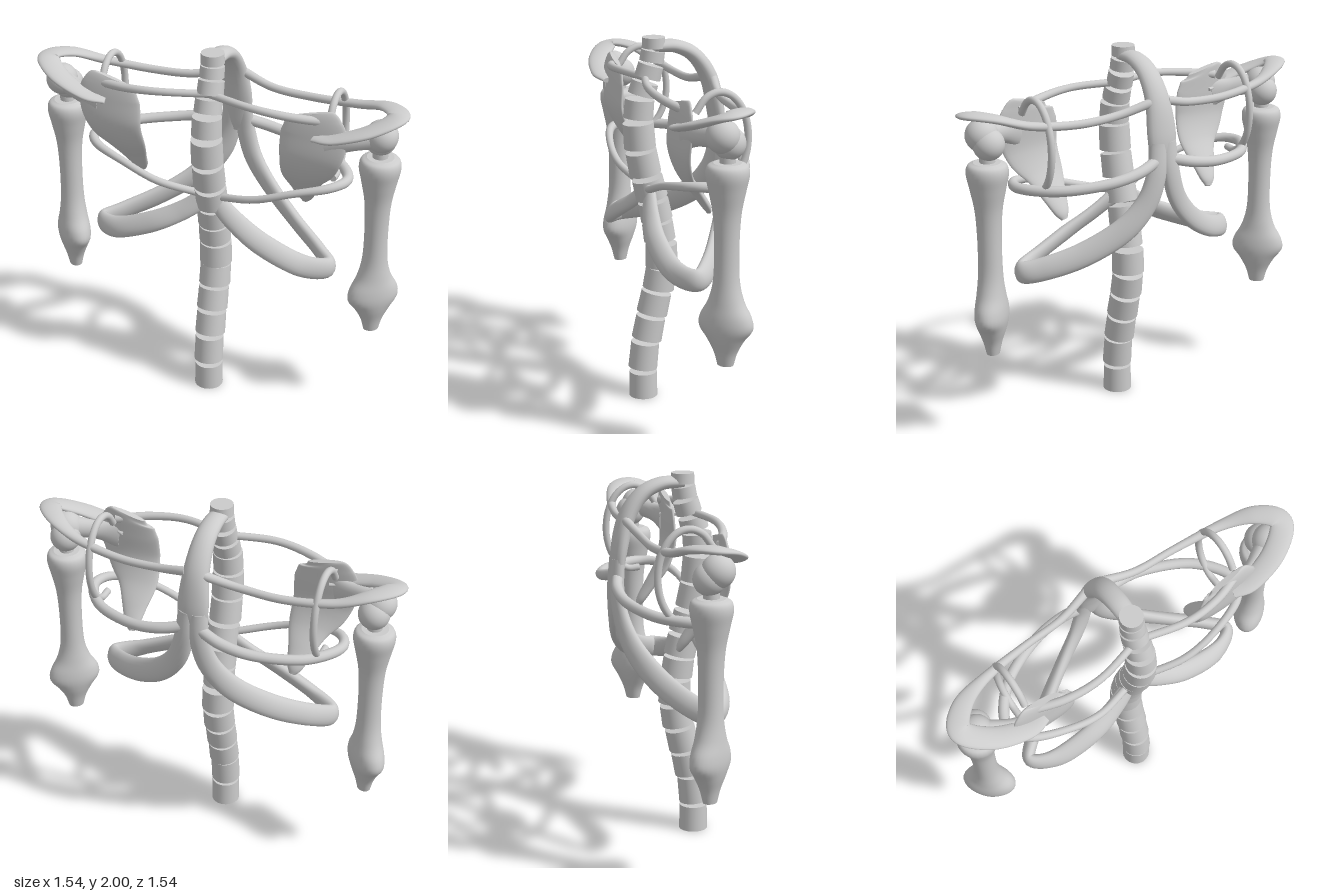
import * as THREE from 'three';

const material = new THREE.MeshStandardMaterial({ color: 0xcccccc });
const V = (x, y, z) => new THREE.Vector3(x, y, z);
const outward = p => V(p.x, 0, p.z);

// Sweep an ellipse along rows of [x, y, z, radius along ref, radius across].
// ref gives the direction of the first radius at each point.
function sweep(name, rows, ref, steps = 48, sides = 20) {
  const path = new THREE.CatmullRomCurve3(rows.map(r => V(r[0], r[1], r[2])), false, 'catmullrom');
  const size = new THREE.CatmullRomCurve3(rows.map(r => V(r[3], r[4] ?? r[3], 0)), false, 'catmullrom');
  const stations = [[0, 0], [0, 1]];
  for (let i = 0; i <= steps; i++) stations.push([i / steps, 1]);
  stations.push([1, 1], [1, 0]);
  const pos = [], index = [];
  stations.forEach(([t, k], i) => {
    const p = path.getPoint(t), s = size.getPoint(t), T = path.getTangent(t);
    const N = ref(p);
    N.addScaledVector(T, -N.dot(T)).normalize();
    const B = T.clone().cross(N);
    for (let j = 0; j < sides; j++) {
      const a = j / sides * Math.PI * 2;
      const q = p.clone().addScaledVector(N, Math.cos(a) * s.x * k).addScaledVector(B, Math.sin(a) * s.y * k);
      pos.push(q.x, q.y, q.z);
      if (i === 0) continue;
      const j1 = (j + 1) % sides, lo = (i - 1) * sides, hi = i * sides;
      index.push(lo + j, lo + j1, hi + j1, lo + j, hi + j1, hi + j);
    }
  });
  const geo = new THREE.BufferGeometry();
  geo.setAttribute('position', new THREE.Float32BufferAttribute(pos, 3));
  geo.setIndex(index);
  geo.computeVertexNormals();
  const mesh = new THREE.Mesh(geo, material);
  mesh.name = name;
  return mesh;
}

function ball(name, r, x, y, z) {
  const mesh = new THREE.Mesh(new THREE.SphereGeometry(r, 28, 18), material);
  mesh.position.set(x, y, z);
  mesh.name = name;
  return mesh;
}

// Vertebrae: [bottom, top, forward position, radius]
function makeSpine() {
  const spine = new THREE.Group();
  spine.name = 'spine';
  const v = [
    [0, 0.14, -0.155, 0.078], [0.165, 0.31, -0.15, 0.08], [0.33, 0.455, -0.122, 0.083],
    [0.475, 0.595, -0.09, 0.085], [0.615, 0.73, -0.058, 0.086], [0.745, 0.87, -0.048, 0.088],
    [0.895, 0.995, -0.065, 0.086], [1.01, 1.115, -0.085, 0.086], [1.135, 1.245, -0.115, 0.086],
    [1.27, 1.395, -0.15, 0.086], [1.415, 1.55, -0.172, 0.085], [1.575, 1.675, -0.172, 0.08],
    [1.695, 1.765, -0.148, 0.074], [1.785, 1.855, -0.115, 0.07], [1.872, 1.93, -0.097, 0.065],
    [1.945, 2, -0.09, 0.062]];
  v.forEach(([lo, hi, z, r], i) => {
    const disc = new THREE.Mesh(new THREE.CylinderGeometry(r * 0.97, r, hi - lo, 28), material);
    disc.position.set(0, (lo + hi) / 2, z);
    if (i > 0 && i < v.length - 1) {
      const a = v[i - 1], b = v[i + 1];
      disc.rotation.x = Math.atan2(b[2] - a[2], (b[0] + b[1] - a[0] - a[1]) / 2);
    }
    disc.name = 'vertebra';
    spine.add(disc);
  });
  return spine;
}

// All the paired parts of one side (s = 1 or -1)
function makeSide(s) {
  const side = new THREE.Group();
  side.name = s > 0 ? 'sideA' : 'sideB';
  const m = rows => rows.map(([x, ...rest]) => [x * s, ...rest]);

  // Broad lower rib, from breastbone round to spine
  side.add(sweep('lowerRib', m([
    [0.03, 1.56, 0.265, 0.035, 0.05], [0.045, 1.4, 0.275, 0.035, 0.055], [0.1, 1.24, 0.26, 0.035, 0.06],
    [0.22, 1.1, 0.215, 0.035, 0.065], [0.4, 0.98, 0.12, 0.035, 0.065], [0.57, 0.905, 0.01, 0.035, 0.062],
    [0.655, 0.875, -0.085, 0.035, 0.06], [0.53, 0.9, -0.165, 0.035, 0.06], [0.32, 0.99, -0.185, 0.035, 0.06],
    [0.155, 1.08, -0.16, 0.03, 0.055], [0.03, 1.17, -0.125, 0.03, 0.05]]), outward, 80));

  // Slender middle rib
  side.add(sweep('middleRib', m([
    [0.03, 1.47, 0.27, 0.03], [0.18, 1.43, 0.3, 0.03], [0.36, 1.4, 0.28, 0.028], [0.58, 1.38, 0.18, 0.028],
    [0.71, 1.375, 0.01, 0.028], [0.66, 1.37, -0.12, 0.024], [0.47, 1.33, -0.19, 0.02],
    [0.27, 1.26, -0.2, 0.02], [0.06, 1.2, -0.14, 0.02]]), outward, 80, 14));

  // Upper bar behind the shoulders
  side.add(sweep('upperBar', m([
    [0, 1.79, -0.14, 0.02], [0.25, 1.785, -0.2, 0.02], [0.45, 1.765, -0.185, 0.022],
    [0.63, 1.74, -0.12, 0.024]]), outward, 30, 14));

  // Upright hoop in front of the shoulder blade
  const hoop = [];
  for (let i = 0; i <= 10; i++) {
    const a = 2.5 - i * 0.43;
    hoop.push([0.63, 1.59 + 0.24 * Math.sin(a), 0.04 + 0.155 * Math.cos(a), 0.019]);
  }
  side.add(sweep('shoulderHoop', m(hoop), () => V(1, 0, 0), 50, 14));

  // Shoulder blade, curving forward to its lower tip
  side.add(sweep('shoulderBlade', m([
    [0.55, 1.78, -0.13, 0.09, 0.015], [0.56, 1.74, -0.135, 0.15, 0.022], [0.565, 1.65, -0.14, 0.175, 0.025],
    [0.54, 1.52, -0.14, 0.16, 0.025], [0.5, 1.4, -0.1, 0.12, 0.025], [0.485, 1.29, -0.025, 0.075, 0.024],
    [0.475, 1.21, 0.03, 0.045, 0.022], [0.468, 1.17, 0.05, 0.018, 0.012]]), () => V(s, 0, 0), 48, 28));
  side.add(sweep('shoulderBladeNeck', m([
    [0.62, 1.63, -0.14, 0.08, 0.03], [0.74, 1.65, -0.11, 0.055, 0.04], [0.87, 1.67, -0.05, 0.06, 0.055]]),
    () => V(0, 1, 0), 20));

  // Collarbone running into the flat shoulder crest
  side.add(sweep('collarboneAndCrest', m([
    [0.58, 1.66, -0.15, 0.015, 0.05], [0.68, 1.68, -0.175, 0.02, 0.055], [0.85, 1.735, -0.135, 0.022, 0.06],
    [0.965, 1.79, -0.035, 0.02, 0.06], [0.88, 1.785, 0.075, 0.02, 0.05], [0.71, 1.735, 0.145, 0.022, 0.028],
    [0.46, 1.71, 0.18, 0.022, 0.02], [0.23, 1.72, 0.19, 0.022, 0.02], [0.05, 1.765, 0.225, 0.024, 0.024]]),
    () => V(0, 1, 0), 80));

  // Shoulder joint and upper arm
  side.add(ball('shoulderSocket', 0.085, 0.89 * s, 1.675, -0.04));
  side.add(ball('shoulderBall', 0.082, 0.875 * s, 1.635, 0));
  const neck = new THREE.Mesh(new THREE.CylinderGeometry(0.04, 0.04, 0.14, 20), material);
  neck.position.set(0.88 * s, 1.56, -0.01);
  neck.name = 'armNeck';
  side.add(neck);
  const arm = [[1.542, 0.07, 0.07], [1.525, 0.1, 0.1], [1.48, 0.108, 0.108], [1.4, 0.092, 0.092],
    [1.28, 0.07, 0.07], [1.12, 0.062, 0.062], [0.95, 0.066, 0.064], [0.84, 0.092, 0.074], [0.76, 0.135, 0.084],
    [0.7, 0.142, 0.084], [0.64, 0.1, 0.072], [0.57, 0.062, 0.05], [0.5, 0.042, 0.034]];
  side.add(sweep('upperArmBone', m(arm.map(([y, a, b]) => [0.882, y, -0.01, a, b])), () => V(s, 0, 1), 60, 28));
  return side;
}

export function createModel() {
  const model = new THREE.Group();
  model.name = 'torsoSkeleton';
  model.add(makeSpine());
  // Breastbone arching forward from the top of the spine
  model.add(sweep('breastbone', [
    [0, 1.95, -0.09, 0.05, 0.03], [0, 1.945, 0.03, 0.055, 0.035], [0, 1.89, 0.135, 0.06, 0.04],
    [0, 1.77, 0.215, 0.07, 0.045], [0, 1.6, 0.255, 0.085, 0.042], [0, 1.46, 0.265, 0.07, 0.03],
    [0, 1.4, 0.265, 0.03, 0.02]], () => V(1, 0, 0)));
  model.add(makeSide(1), makeSide(-1));
  // The body stands diagonally, chest towards +x -z
  model.rotation.y = Math.PI * 0.75;
  return model;
}
